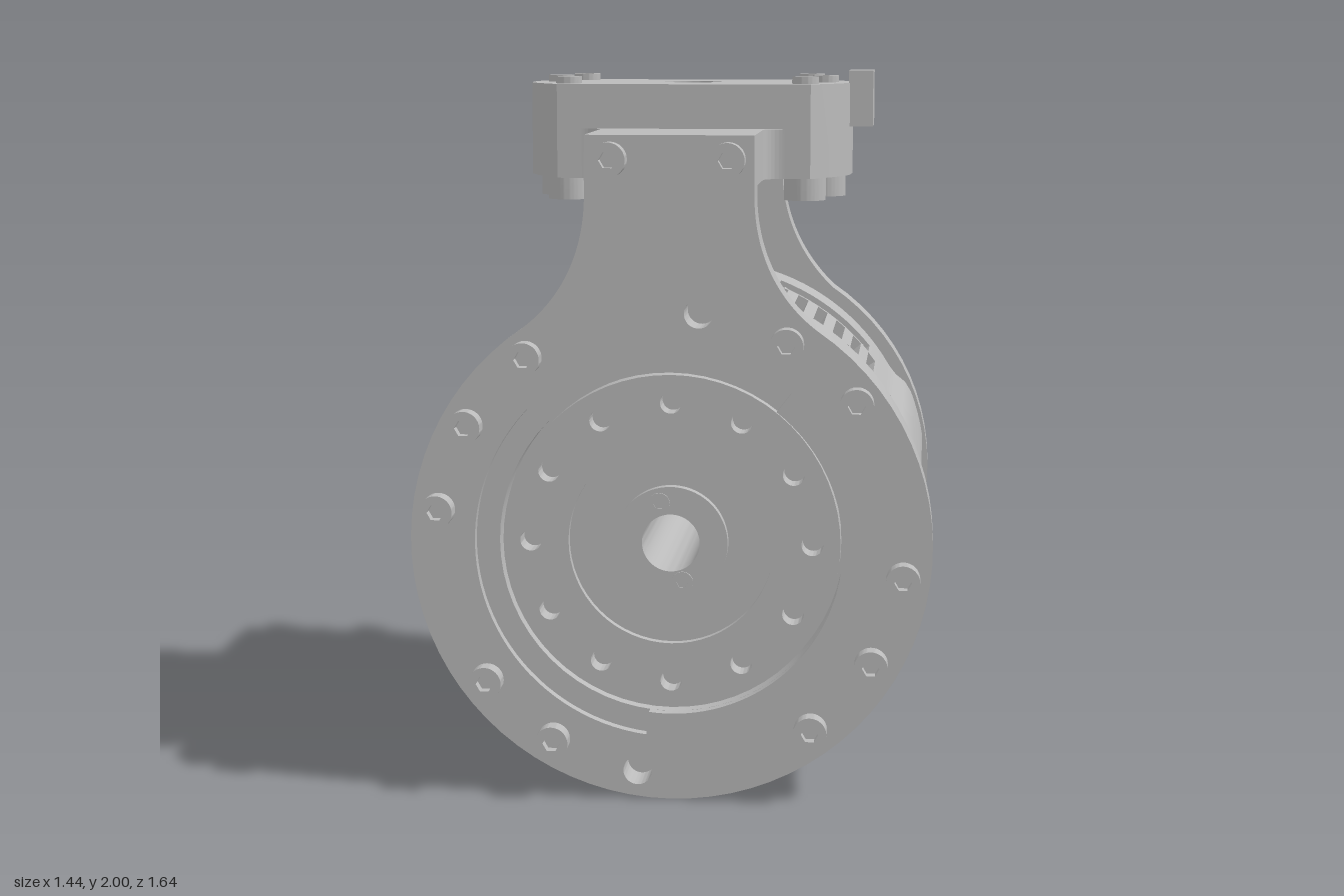
import * as THREE from 'three';
import { toCreasedNormals } from 'three/addons/utils/BufferGeometryUtils.js';

const AXIS = 0.72; // height of the motor axis
const RAD = Math.PI / 180;
const QUARTERS = [14, 104, 194, 284]; // angles of spokes and body ridges

export function createModel() {
  const model = new THREE.Group();
  model.name = 'motorInYoke';
  const metal = new THREE.MeshStandardMaterial({ color: 0xbababa, side: THREE.DoubleSide });
  metal.name = 'greyMetal';

  const add = (name, geo, x = 0, y = 0, z = 0, parent = model) => {
    const m = new THREE.Mesh(geo, metal);
    m.name = name;
    m.position.set(x, y, z);
    parent.add(m);
    return m;
  };
  const extrude = (shape, depth) =>
    toCreasedNormals(new THREE.ExtrudeGeometry(shape, { depth, bevelEnabled: false, curveSegments: 32 }), 0.5);
  const circle = (x, y, r) => new THREE.Path().absarc(x, y, r, 0, Math.PI * 2);
  const disc = r => new THREE.Shape().absarc(0, 0, r, 0, Math.PI * 2);

  // Turned part around the motor axis: profile pairs of [radius, z]
  const turned = (name, profile) => {
    const pts = [...profile, profile[0]].map(([r, z]) => new THREE.Vector2(r, z));
    const geo = toCreasedNormals(new THREE.LatheGeometry(pts, 72).rotateX(Math.PI / 2), 0.5);
    return add(name, geo, 0, AXIS, 0);
  };
  const ring = (name, r0, r1, z0, z1) => turned(name, [[r0, z0], [r1, z0], [r1, z1], [r0, z1]]);

  // Socket head bolt, built along +z and then turned
  const headCache = {};
  const bolt = (name, x, y, z, r, h, rx = 0) => {
    const key = r + '/' + h;
    if (!headCache[key]) {
      const s = disc(r);
      const hex = [];
      for (let i = 0; i < 6; i++) hex.push(new THREE.Vector2(Math.cos(i * 60 * RAD), Math.sin(i * 60 * RAD)).multiplyScalar(r * 0.52));
      s.holes.push(new THREE.Path(hex));
      headCache[key] = [extrude(s, h), new THREE.CircleGeometry(r * 0.7, 16).translate(0, 0, h * 0.4)];
    }
    const g = new THREE.Group();
    g.name = name;
    g.position.set(x, y, z);
    g.rotation.x = rx;
    add('boltHead', headCache[key][0], 0, 0, 0, g);
    add('boltSocket', headCache[key][1], 0, 0, 0, g);
    model.add(g);
  };

  // Round plate with a neck rising to the bridge
  const plateShape = r => {
    const a = 56 * RAD, jx = r * Math.cos(a), jy = AXIS + r * Math.sin(a);
    const s = new THREE.Shape();
    s.moveTo(0.23, 1.84);
    s.lineTo(-0.23, 1.84);
    s.lineTo(-0.23, 1.68);
    s.bezierCurveTo(-0.23, 1.53, -0.29, 1.4, -jx, jy);
    s.absarc(0, AXIS, r, Math.PI - a, 2 * Math.PI + a, false);
    s.bezierCurveTo(0.29, 1.4, 0.23, 1.53, 0.23, 1.68);
    return s;
  };

  // Front plate in two layers, so that a C-shaped step surrounds the opening
  const frontHoles = [circle(0.08, 1.36, 0.04), circle(-0.09, 0.08, 0.04)];
  const backLayer = plateShape(0.719);
  backLayer.holes.push(circle(0, AXIS, 0.475), ...frontHoles);
  add('frontPlate', extrude(backLayer, 0.08), 0, 0, 0.66);
  const frontLayer = plateShape(0.719);
  const step = new THREE.Path();
  step.absarc(0, AXIS, 0.54, 52 * RAD, 263 * RAD, false);
  step.absarc(0, AXIS, 0.475, 263 * RAD, 412 * RAD, false);
  step.closePath();
  frontLayer.holes.push(step, ...frontHoles);
  add('frontPlateRim', extrude(frontLayer, 0.03), 0, 0, 0.74);

  // Back plate with four windows between the spokes
  const backPlate = plateShape(0.702);
  for (const spoke of QUARTERS) {
    const deg = spoke + 45;
    const w = new THREE.Path();
    const p = (r, d) => [r * Math.cos((deg + d) * RAD), AXIS + r * Math.sin((deg + d) * RAD)];
    w.moveTo(...p(0.5, -28));
    w.absarc(0, AXIS, 0.5, (deg - 28) * RAD, (deg + 28) * RAD, false);
    w.quadraticCurveTo(...p(0.51, 36), ...p(0.43, 35));
    w.lineTo(...p(0.33, 28));
    w.quadraticCurveTo(...p(0.24, 24), ...p(0.22, 10));
    w.lineTo(...p(0.22, -10));
    w.quadraticCurveTo(...p(0.24, -24), ...p(0.33, -28));
    w.lineTo(...p(0.43, -35));
    w.quadraticCurveTo(...p(0.51, -36), ...p(0.5, -28));
    backPlate.holes.push(w);
  }
  backPlate.holes.push(circle(0, AXIS, 0.1));
  add('backPlate', extrude(backPlate, 0.11), 0, 0, -0.605);

  // Body shell: four raised ridges, a cone at the front, vent slots and a socket opening
  const smooth = t => { t = Math.min(1, Math.max(0, t)); return t * t * (3 - 2 * t); };
  const ridge = deg => Math.max(...QUARTERS.map(c => {
    const d = Math.abs(((deg - c - 1 + 540) % 360) - 180);
    return smooth((14 - d) / 7);
  }));
  // Rows of [z, least radius]
  const rows = [[0.515, 0.71], [0.49, 0.692], [0.45, 0.664], [0.26, 0.664], [-0.16, 0.664], [-0.18, 0.664], [-0.32, 0.664], [-0.495, 0.664]];
  const slots = new Set();
  for (const start of [36, 120, 216, 309])
    for (let i = 0; i < 8; i++) slots.add(((start + 6 * i) % 360) / 3);
  const open = (row, c) => {
    c = (c + 120) % 120;
    return (row === 3 && slots.has(c)) || (row === 5 && c >= 13 && c < 23);
  };
  const at = (row, c, inset) => {
    const deg = ((c + 120) % 120) * 3;
    const r = Math.max(rows[row][1], 0.664 + 0.028 * ridge(deg)) - inset;
    return [r * Math.cos(deg * RAD), r * Math.sin(deg * RAD), rows[row][0]];
  };
  const pos = [];
  const quad = (a, b, c, d) => pos.push(...a, ...b, ...c, ...a, ...c, ...d);
  const T = 0.03;
  for (let k = 0; k < rows.length - 1; k++) for (let c = 0; c < 120; c++) {
    if (open(k, c)) continue;
    quad(at(k, c, 0), at(k + 1, c, 0), at(k + 1, c + 1, 0), at(k, c + 1, 0));
    quad(at(k, c, T), at(k, c + 1, T), at(k + 1, c + 1, T), at(k + 1, c, T));
    // Walls of the openings
    if (open(k, c + 1)) quad(at(k, c + 1, 0), at(k + 1, c + 1, 0), at(k + 1, c + 1, T), at(k, c + 1, T));
    if (open(k, c - 1)) quad(at(k, c, T), at(k + 1, c, T), at(k + 1, c, 0), at(k, c, 0));
    if (open(k + 1, c)) quad(at(k + 1, c, 0), at(k + 1, c, T), at(k + 1, c + 1, T), at(k + 1, c + 1, 0));
    if (k && open(k - 1, c)) quad(at(k, c, 0), at(k, c + 1, 0), at(k, c + 1, T), at(k, c, T));
  }
  const shell = new THREE.BufferGeometry();
  shell.setAttribute('position', new THREE.Float32BufferAttribute(pos, 3));
  add('bodyShell', toCreasedNormals(shell, 0.35), 0, AXIS, 0);

  // Sockets recessed in the upper opening
  const sockets = new THREE.Group();
  sockets.name = 'sockets';
  sockets.position.set(0, AXIS, -0.25);
  sockets.rotation.z = 54 * RAD;
  model.add(sockets);
  add('socketBoard', new THREE.BoxGeometry(0.02, 0.42, 0.18), 0.58, 0, 0, sockets);
  [[-0.1, 0.11, 0.09], [0.02, 0.09, 0.06], [0.12, 0.06, 0.1]].forEach(([y, h, d]) =>
    add('socket', new THREE.BoxGeometry(0.05, h, d), 0.61, y, 0, sockets));

  // Gear housing, inner motor and central shaft
  turned('gearHousing', [[0.12, 0.51], [0.7, 0.51], [0.711, 0.52], [0.711, 0.645], [0.7, 0.66], [0.12, 0.66]]);
  ring('innerMotor', 0.12, 0.56, -0.06, 0.51);
  ring('shaftTube', 0.08, 0.125, -0.73, 0.68);

  // Front output flange with its ring of holes
  const flange = disc(0.467);
  flange.holes.push(circle(0, 0, 0.285));
  for (let i = 0; i < 12; i++) flange.holes.push(circle(0.39 * Math.cos(i * 30 * RAD), 0.39 * Math.sin(i * 30 * RAD), 0.03));
  add('outputFlange', extrude(flange, 0.075), 0, AXIS, 0.655);
  ring('innerFlange', 0.15, 0.286, 0.65, 0.705);
  ring('frontHub', 0.08, 0.157, 0.65, 0.735);
  for (const s of [-1, 1]) bolt('hubScrew', 0.032 * s, AXIS - 0.11 * s, 0.735, 0.03, 0.005);

  // Rear hub: lobed flange, domed screws and stepped collar
  ring('rearFlange', 0.08, 0.19, -0.66, -0.6);
  turned('rearCollar', [[0.08, -0.82], [0.115, -0.82], [0.115, -0.805], [0.145, -0.805], [0.145, -0.795],
    [0.11, -0.795], [0.11, -0.785], [0.16, -0.785], [0.16, -0.735], [0.172, -0.735], [0.172, -0.725], [0.125, -0.725],
    [0.125, -0.65], [0.08, -0.65]]);
  for (const deg of QUARTERS) {
    const c = Math.cos(deg * RAD), s = Math.sin(deg * RAD);
    add('flangeLobe', new THREE.CylinderGeometry(0.062, 0.062, 0.06, 28).rotateX(Math.PI / 2), 0.225 * c, AXIS + 0.225 * s, -0.63);
    const dome = new THREE.SphereGeometry(0.05, 24, 8, 0, Math.PI * 2, 0, Math.PI / 2).scale(1, 0.75, 1).rotateX(-Math.PI / 2);
    add('domedScrew', dome, 0.225 * c, AXIS + 0.225 * s, -0.66);
    bolt('backPlateBolt', 0.645 * c, AXIS + 0.645 * s, -0.605, 0.033, 0.037, Math.PI);
  }

  // Bolts of the front plate and of the necks
  [[-0.395, 1.235], [-0.56, 1.045], [-0.64, 0.81], [0.32, 1.28], [0.51, 1.12], [0.64, 0.64], [0.555, 0.4],
    [0.39, 0.21], [-0.51, 0.33], [-0.325, 0.165]].forEach(([x, y]) => bolt('frontPlateBolt', x, y, 0.77, 0.046, 0.052));
  for (const x of [-0.16, 0.16]) {
    bolt('frontNeckBolt', x, 1.775, 0.77, 0.047, 0.052);
    bolt('backNeckBolt', x, 1.775, -0.605, 0.047, 0.052, Math.PI);
  }

  // Bridge and mounting block, drawn in plan (x, z)
  const plan = (name, shape, top, depth) => add(name, extrude(shape, depth).rotateX(Math.PI / 2), 0, top, 0);
  for (const [name, zPlate, zBlock] of [['frontBridge', 0.66, 0.38], ['backBridge', -0.495, -0.22]]) {
    const zf = zBlock + Math.sign(zPlate) * 0.06;
    const s = new THREE.Shape();
    s.moveTo(-0.23, zPlate);
    s.lineTo(0.23, zPlate);
    s.lineTo(0.23, zf);
    s.quadraticCurveTo(0.23, zBlock, 0.29, zBlock);
    s.lineTo(-0.29, zBlock);
    s.quadraticCurveTo(-0.23, zBlock, -0.23, zf);
    plan(name, s, 1.84, 0.14);
  }
  const half = [[0.36, -0.22], [0.43, -0.105], [0.462, -0.02], [0.47, 0.08], [0.462, 0.18], [0.43, 0.265], [0.36, 0.38]];
  const outline = [...half, ...half.map(([x, z]) => [-x, z]).reverse()];
  const block = new THREE.Shape(outline.map(([x, z]) => new THREE.Vector2(x, z)));
  block.holes.push(circle(0, 0.08, 0.083));
  plan('mountingBlock', block, 1.965, 0.265);
  add('sideTab', new THREE.BoxGeometry(0.07, 0.16, 0.17), 0.495, 1.92, 0.08);
  for (const s of [-1, 1]) for (const [x, z] of [[0.34, -0.12], [0.39, 0.08], [0.34, 0.275]]) {
    bolt('blockTopScrew', s * x, 1.965, z, 0.038, 0.02, -Math.PI / 2);
    bolt('blockLowerBolt', s * x, 1.7, z, 0.06, 0.065, Math.PI / 2);
  }
  return model;
}
